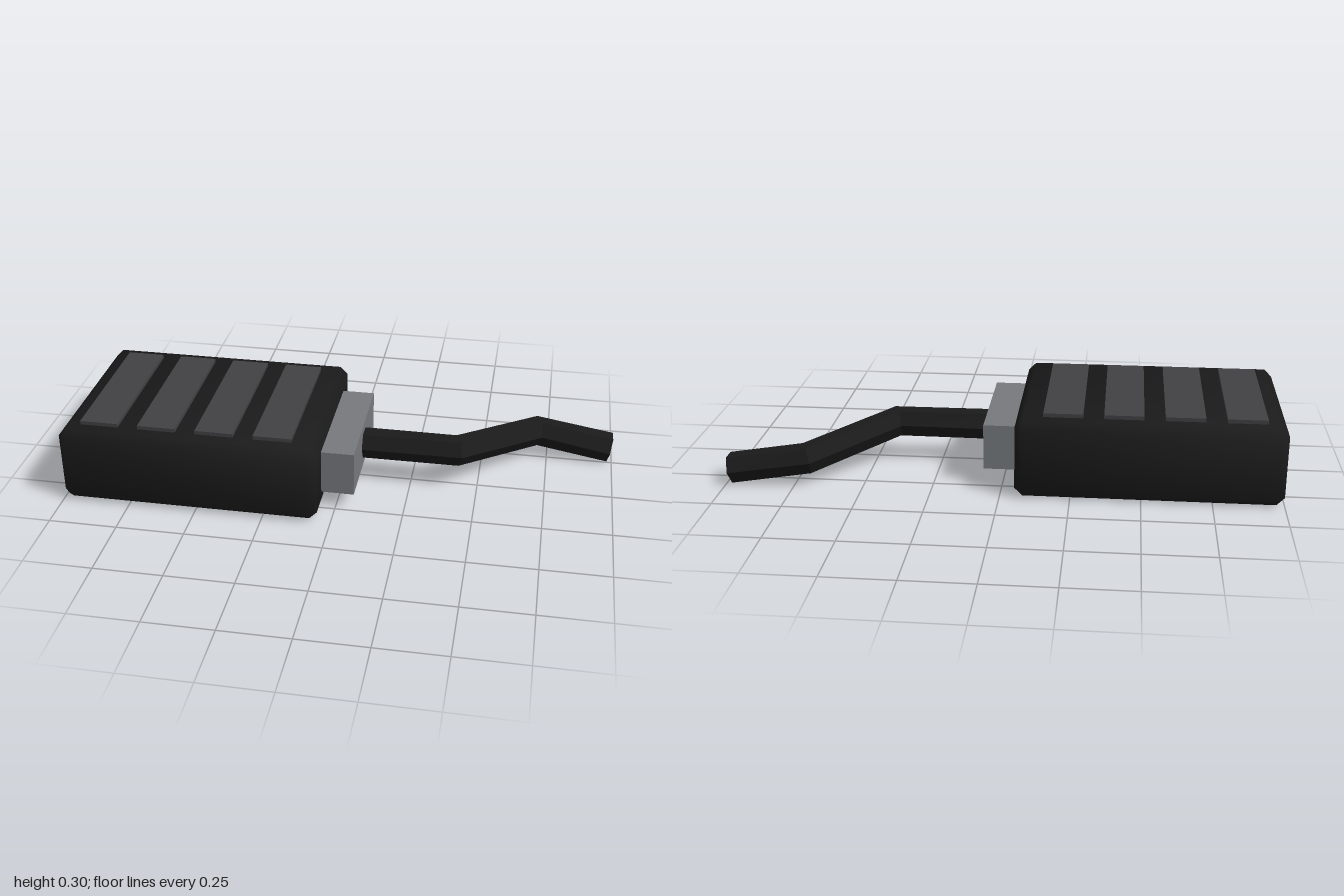
import * as THREE from 'three';
import { mergeVertices } from 'three/addons/utils/BufferGeometryUtils.js';
import { ConvexGeometry } from 'three/addons/geometries/ConvexGeometry.js';

// Box with one chamfer on every edge and soft normals that lean out at the corners
function chamferedBox(w, h, d, c) {
  const half = [w / 2, h / 2, d / 2];
  const points = [];
  for (const x of [-1, 1]) for (const y of [-1, 1]) for (const z of [-1, 1]) {
    for (const [a, b, e] of [[0, c, c], [c, 0, c], [c, c, 0]]) {
      points.push(new THREE.Vector3(x * (half[0] - a), y * (half[1] - b), z * (half[2] - e)));
    }
  }
  const hull = new ConvexGeometry(points);
  hull.deleteAttribute('normal');
  const geometry = mergeVertices(hull, 1e-5);
  const position = geometry.getAttribute('position');
  const normals = [];
  for (let i = 0; i < position.count; i++) {
    const n = half.map((size, axis) => {
      const v = position.getComponent(i, axis);
      return Math.sign(v) * (Math.abs(v) > size - c / 2 ? 1 : 0.43);
    });
    normals.push(...new THREE.Vector3(...n).normalize().toArray());
  }
  geometry.setAttribute('normal', new THREE.Float32BufferAttribute(normals, 3));
  return geometry;
}

// Polygonal cable: one ring per path point, set along the mean direction there
function cableGeometry(path, radius, sides) {
  const positions = [], index = [];
  const up = new THREE.Vector3(0, 1, 0);
  path.forEach((p, i) => {
    const dir = new THREE.Vector3();
    if (i > 0) dir.add(p.clone().sub(path[i - 1]).normalize());
    if (i < path.length - 1) dir.add(path[i + 1].clone().sub(p).normalize());
    dir.normalize();
    const side = dir.clone().cross(up).normalize();
    const top = side.clone().cross(dir);
    for (let k = 0; k < sides; k++) {
      const a = (k / sides) * Math.PI * 2;
      const v = p.clone().addScaledVector(side, Math.cos(a) * radius).addScaledVector(top, Math.sin(a) * radius);
      positions.push(v.x, v.y, v.z);
      if (i > 0) {
        const n = (k + 1) % sides, lo = (i - 1) * sides, hi = i * sides;
        index.push(lo + k, hi + n, lo + n, lo + k, hi + k, hi + n);
      }
    }
  });
  // end caps
  const last = (path.length - 1) * sides;
  for (let k = 1; k < sides - 1; k++) {
    index.push(0, k, k + 1, last, last + k + 1, last + k);
  }
  const indexed = new THREE.BufferGeometry();
  indexed.setAttribute('position', new THREE.Float32BufferAttribute(positions, 3));
  indexed.setIndex(index);
  const geometry = indexed.toNonIndexed();
  geometry.computeVertexNormals();
  return geometry;
}

export function createModel() {
  const model = new THREE.Group();
  model.name = 'batteryPack';

  const black = new THREE.MeshStandardMaterial({ color: 0x1b1b1b });
  black.name = 'black plastic';
  const darkGrey = new THREE.MeshStandardMaterial({ color: 0x414145 });
  darkGrey.name = 'dark grey panel';
  const grey = new THREE.MeshStandardMaterial({ color: 0x777a7e });
  grey.name = 'grey connector';

  function add(name, geometry, material, x = 0, y = 0, z = 0) {
    const mesh = new THREE.Mesh(geometry, material);
    mesh.name = name;
    mesh.position.set(x, y, z);
    model.add(mesh);
  }

  // Main case
  add('case', chamferedBox(0.948, 0.284, 0.71, 0.028), black, -0.526, 0.145, 0);

  // Four raised panels across the top
  for (let i = 0; i < 4; i++) {
    add('topPanel' + (i + 1), new THREE.BoxGeometry(0.14, 0.028, 0.568), darkGrey, -0.86 + i * 0.2135, 0.287, 0);
  }

  // Connector block on the end
  add('connector', new THREE.BoxGeometry(0.14, 0.167, 0.474), grey, -0.002, 0.1465, 0);

  // Bent six-sided cable
  const path = [
    [0.04, 0.146, 0], [0.42, 0.146, 0], [0.706, 0.098, -0.285], [0.99, 0.051, -0.285],
  ].map((p) => new THREE.Vector3(...p));
  add('cable', cableGeometry(path, 0.057, 6), black);

  return model;
}
